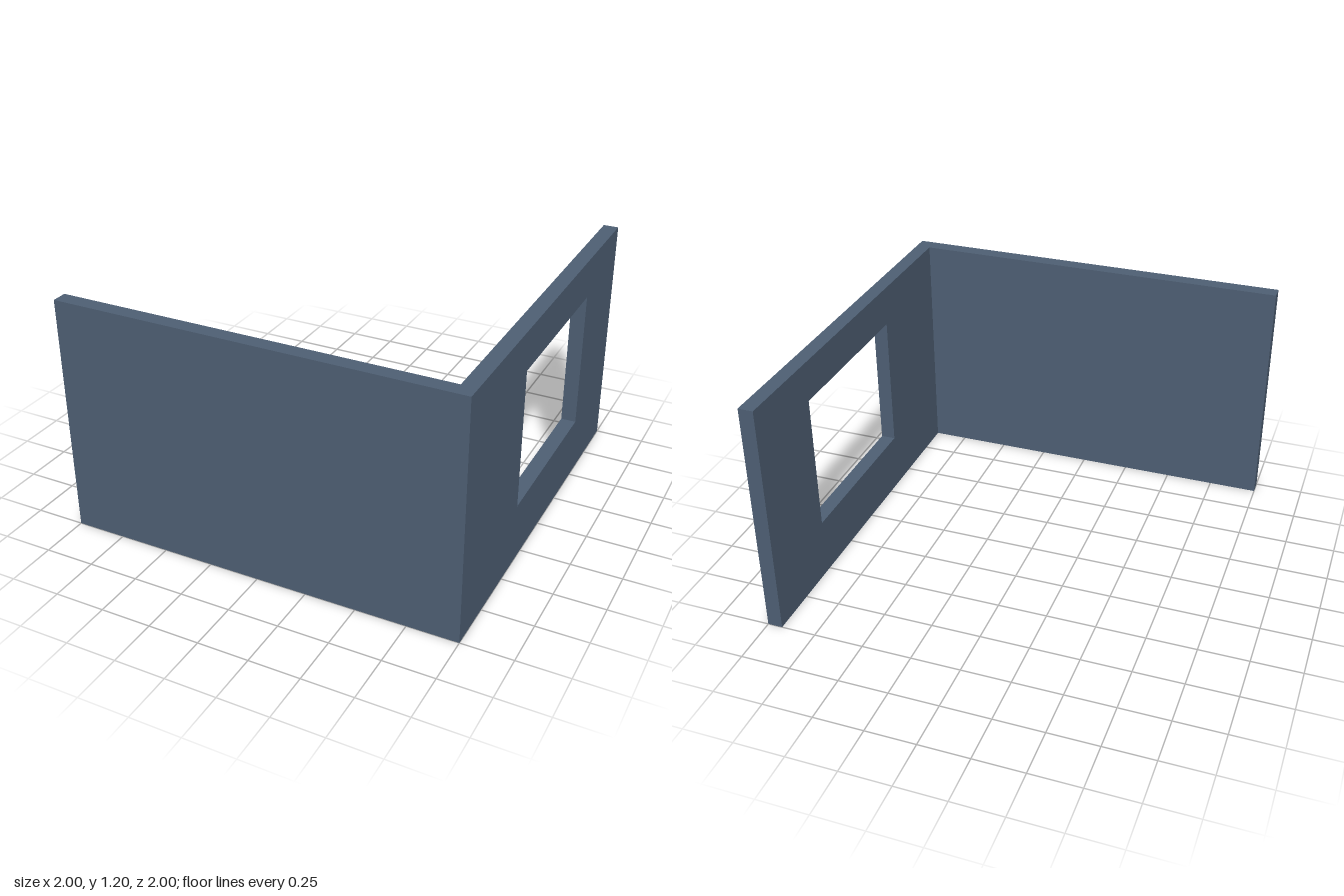
import * as THREE from 'three';

const HEIGHT = 1.2;
const THICK = 0.075;

// Rectangle given by its edges, as a Shape or a Path
function rect(Type, x0, y0, x1, y1) {
  return new Type([[x0, y0], [x1, y0], [x1, y1], [x0, y1]].map(([x, y]) => new THREE.Vector2(x, y)));
}

export function createModel() {
  const group = new THREE.Group();
  group.name = 'cornerWalls';
  const slate = new THREE.MeshStandardMaterial({ color: 0x4f6075 });
  slate.name = 'slate';

  function addWall(name, shape) {
    const geometry = new THREE.ExtrudeGeometry(shape, { depth: THICK, bevelEnabled: false });
    const wall = new THREE.Mesh(geometry, slate);
    wall.name = name;
    group.add(wall);
    return wall;
  }

  // Solid front wall, butting against the side wall
  const frontWall = addWall('frontWall', rect(THREE.Shape, -1, 0, 1 - THICK, HEIGHT));
  frontWall.position.z = 1 - THICK;

  // Side wall with the window opening; shape x runs towards the back
  const sideShape = rect(THREE.Shape, -1, 0, 1, HEIGHT);
  sideShape.holes.push(rect(THREE.Path, -0.335, 0.3, 0.53, 1));
  const windowWall = addWall('windowWall', sideShape);
  windowWall.rotation.y = Math.PI / 2;
  windowWall.position.x = 1 - THICK;

  return group;
}
